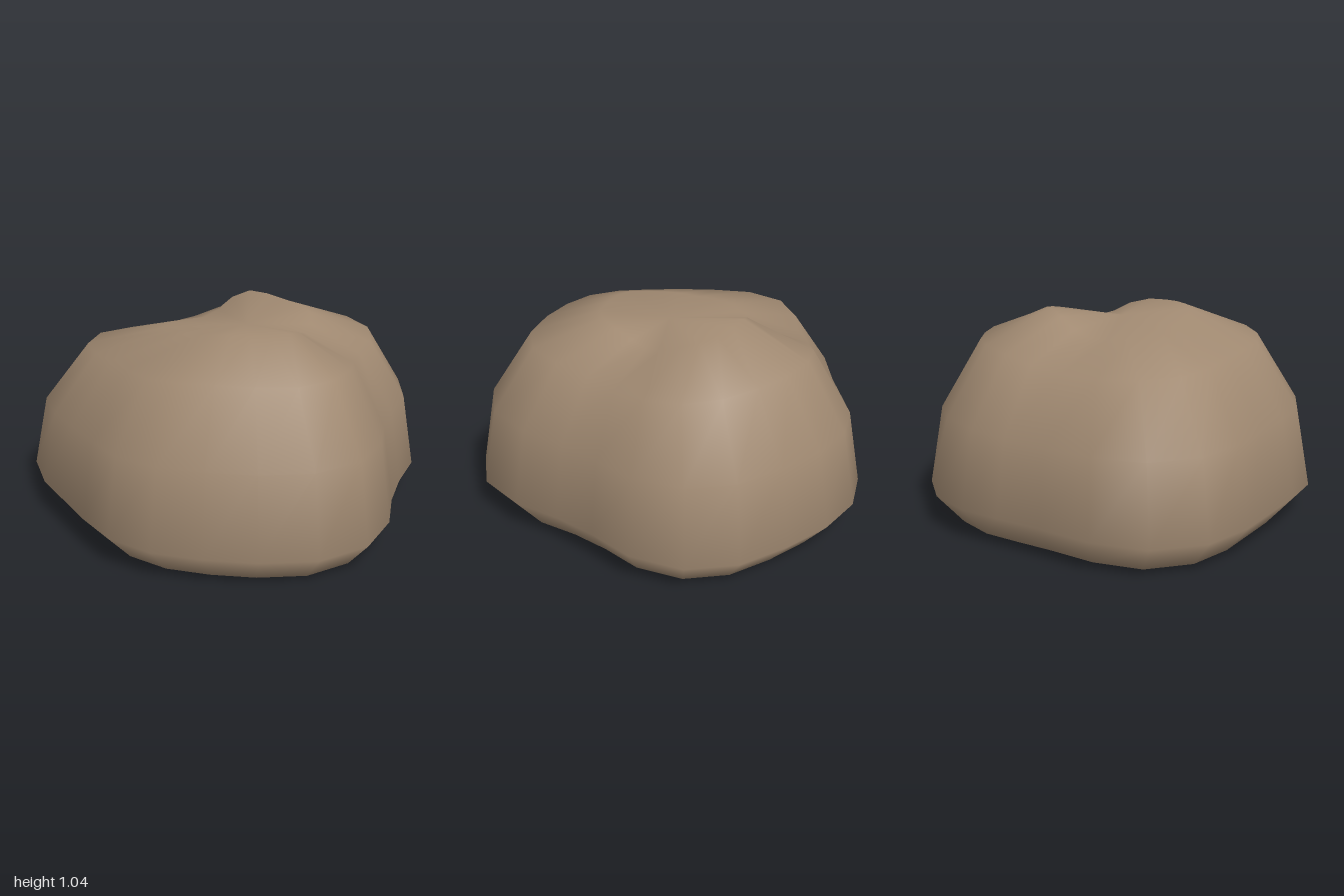
import * as THREE from 'three';

// Widest outline of the boulder as [x, z], every 15 degrees from +x towards +z
const OUTLINE = [
  [1, 0.06], [0.97, 0.33], [0.82, 0.56], [0.64, 0.74], [0.44, 0.89], [0.2, 0.97],
  [-0.04, 0.96], [-0.29, 0.93], [-0.54, 0.9], [-0.8, 0.81], [-0.98, 0.6], [-1, 0.32],
  [-0.94, 0.04], [-0.9, -0.2], [-0.86, -0.41], [-0.74, -0.63], [-0.54, -0.79], [-0.3, -0.9],
  [-0.04, -0.98], [0.22, -0.95], [0.44, -0.78], [0.57, -0.56], [0.71, -0.37], [0.88, -0.19],
];

// Rings from the ground up: outline scale and heights every 45 degrees
const RINGS = [
  { scale: 0.86, heights: [0] },
  { scale: 1, heights: [0.15] },
  { scale: 0.93, heights: [0.55, 0.55, 0.54, 0.52, 0.51, 0.54, 0.54, 0.53] },
  { scale: 0.72, heights: [0.88, 0.89, 0.86, 0.83, 0.81, 0.88, 0.87, 0.83] },
  { scale: 0.37, heights: [1.01, 1.02, 0.98, 0.93, 0.92, 1.04, 1.0, 0.93] },
];

// Smooth periodic blend between the listed heights
function heightAt(heights, turn) {
  const t = turn * heights.length;
  const k = Math.floor(t);
  const n = heights.length;
  return THREE.MathUtils.lerp(heights[k % n], heights[(k + 1) % n], THREE.MathUtils.smoothstep(t - k, 0, 1));
}

function boulderGeometry() {
  const n = OUTLINE.length;
  const positions = [];
  const index = [];
  for (const { scale, heights } of RINGS) {
    OUTLINE.forEach(([x, z], i) => positions.push(x * scale, heightAt(heights, i / n), z * scale));
  }
  const base = RINGS.length * n;
  const crown = base + 1;
  positions.push(0, 0, 0, 0.03, 0.975, 0.02);

  for (let i = 0; i < n; i++) {
    const j = (i + 1) % n;
    // Sides
    for (let r = 0; r < RINGS.length - 1; r++) {
      const a = r * n, b = a + n;
      index.push(a + i, b + i, a + j, b + i, b + j, a + j);
    }
    // Flat underside and dipped crown
    const top = (RINGS.length - 1) * n;
    index.push(i, j, base, top + i, crown, top + j);
  }

  const geometry = new THREE.BufferGeometry();
  geometry.setAttribute('position', new THREE.Float32BufferAttribute(positions, 3));
  geometry.setIndex(index);
  geometry.computeVertexNormals();
  return geometry;
}

export function createModel() {
  const stone = new THREE.MeshStandardMaterial({ color: 0xa08971 });
  stone.name = 'brown stone';
  const boulder = new THREE.Mesh(boulderGeometry(), stone);
  boulder.name = 'boulder';
  const group = new THREE.Group();
  group.name = 'rock';
  group.add(boulder);
  return group;
}
